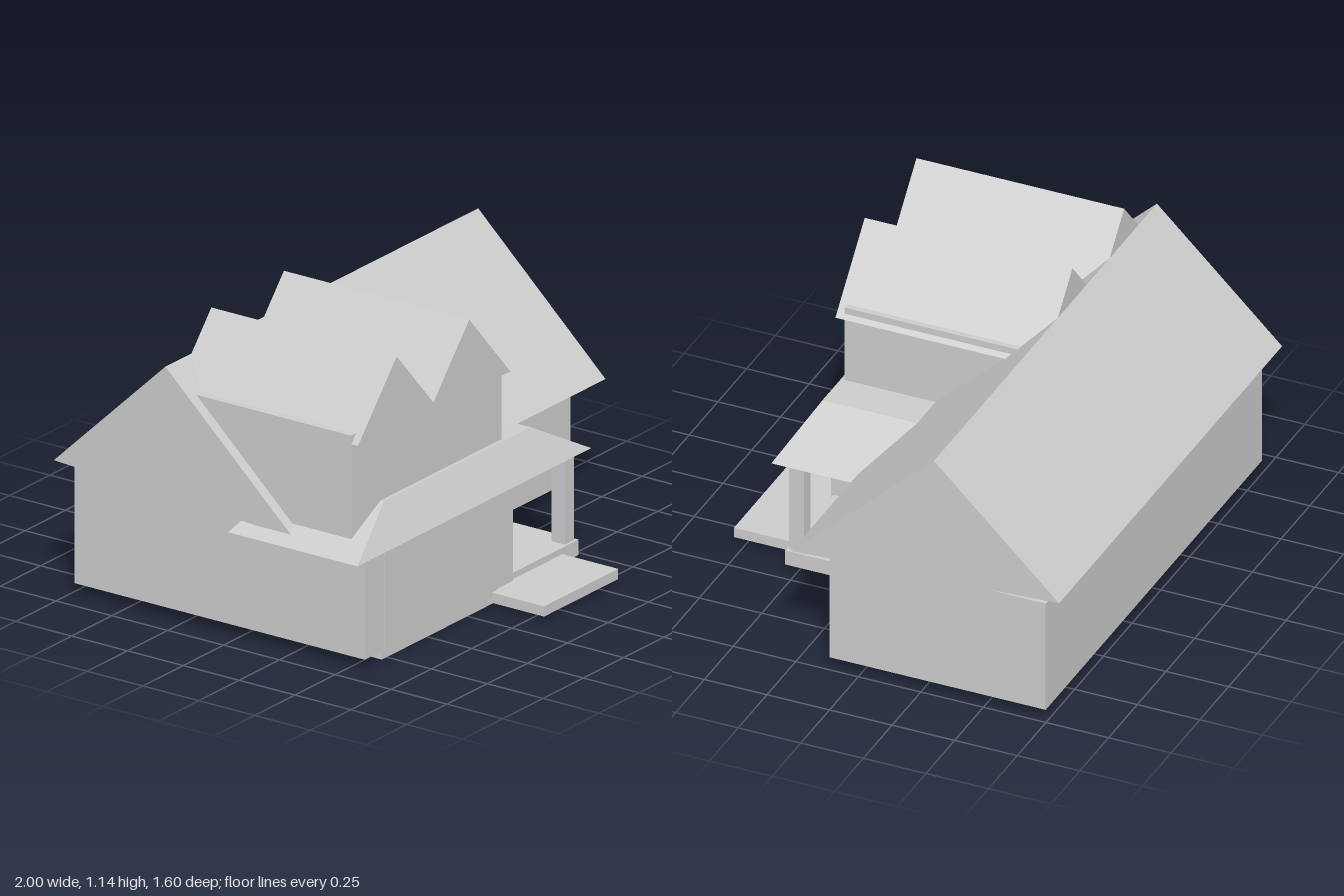
import * as THREE from 'three';

const material = new THREE.MeshStandardMaterial({ color: 0xcccccc, flatShading: true });

export function createModel() {
  const house = new THREE.Group();
  house.name = 'house';

  function add(name, geometry) {
    const mesh = new THREE.Mesh(geometry, material);
    mesh.name = name;
    house.add(mesh);
    return mesh;
  }

  // Box given by its extents on each axis
  function block(name, [x0, x1], [y0, y1], [z0, z1]) {
    const g = new THREE.BoxGeometry(x1 - x0, y1 - y0, z1 - z0);
    g.translate((x0 + x1) / 2, (y0 + y1) / 2, (z0 + z1) / 2);
    return add(name, g);
  }

  // Solid prism extruded along z from a 2D outline
  function prism(points, depth) {
    const shape = new THREE.Shape(points.map(([x, y]) => new THREE.Vector2(x, y)));
    return new THREE.ExtrudeGeometry(shape, { depth, bevelEnabled: false });
  }

  // Walls
  block('mainWalls', [-0.9, 0.98], [0.04, 0.495], [-0.74, 0.125]);
  block('frontWingWalls', [-0.9, 0.02], [0.04, 0.47], [0.1, 0.56]);
  block('upperWalls', [-0.9, 0.03], [0.45, 0.9], [-0.2, 0.5]);
  block('garageDoor', [-0.78, -0.09], [0.035, 0.447], [0.5, 0.566]);
  block('doorTrim', [-0.09, -0.075], [0.05, 0.447], [0.5, 0.563]);

  // Main gable roof: outline in (-z, y), swept along x
  const mainRoof = prism([[-0.27, 0.465], [0.8, 0.52], [0.3, 1.0]], 1.94);
  mainRoof.rotateY(Math.PI / 2).translate(-0.945, 0, 0);
  add('mainRoof', mainRoof);

  // Twin gables over the upper floor
  for (const [name, peak] of [['rightGableRoof', -0.66], ['leftGableRoof', -0.21]]) {
    const gable = prism([[-0.24, 0.867], [0.255, 0.857], [0, 1.14]], 0.83);
    gable.translate(peak, 0, -0.3);
    add(name, gable);
  }

  // Porch roof: a box whose top corners are drawn inward to form hips
  const hip = new THREE.BoxGeometry(1.45, 0.145, 0.58);
  const p = hip.attributes.position;
  for (let i = 0; i < p.count; i++) {
    if (p.getY(i) > 0) {
      p.setX(i, p.getX(i) < 0 ? -0.445 : 0.465);
      p.setZ(i, Math.sign(p.getZ(i)) * 0.205);
    }
  }
  hip.translate(-0.275, 0.5175, 0.31);
  hip.computeVertexNormals();
  add('porchRoof', hip);

  // Porch
  block('porchFloor', [0, 0.44], [0.02, 0.08], [0.095, 0.55]);
  block('porchStep', [-0.12, 0.34], [0.015, 0.055], [0.48, 0.8]);
  block('porchPost', [0.37, 0.425], [0.08, 0.447], [0.48, 0.54]);

  // Garage floor slab
  block('garageSlab', [-0.78, -0.065], [0, 0.035], [-0.14, 0.55]);

  return house;
}
